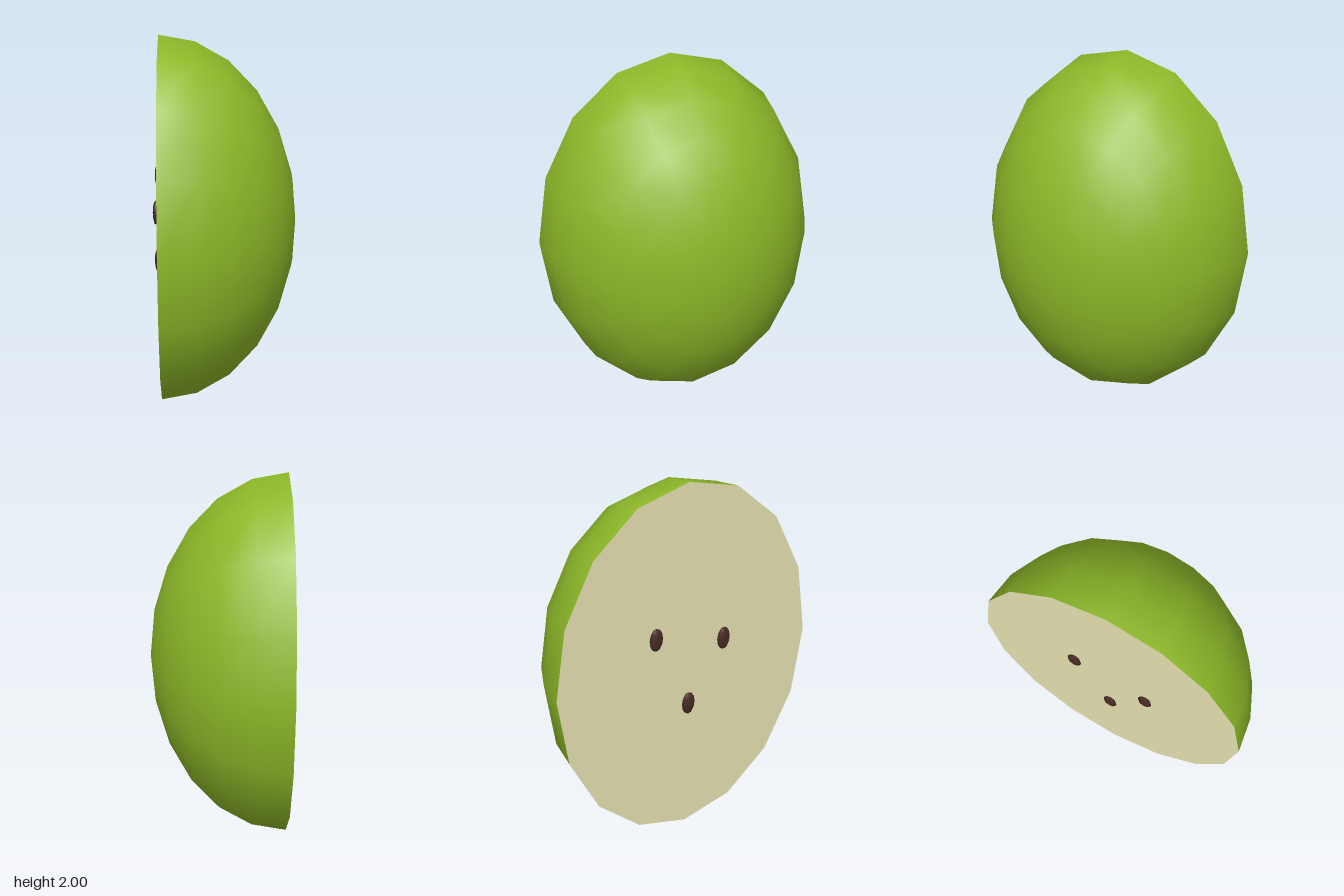
import * as THREE from 'three';

const material = (name, color) => {
  const m = new THREE.MeshStandardMaterial({ color });
  m.name = name;
  return m;
};

export function createModel() {
  const group = new THREE.Group();
  group.name = 'halvedFruit';
  const skin = material('green skin', 0x8db828);
  const flesh = material('pale flesh', 0xe4e0b0);
  const pip = material('dark brown seed', 0x4a2a25);

  const cutX = -0.35, depth = 0.73, height = 1, width = 0.765, sides = 16;

  const add = (name, geometry, mat, x, y, z) => {
    const mesh = new THREE.Mesh(geometry, mat);
    mesh.name = name;
    mesh.position.set(x, y, z);
    group.add(mesh);
  };

  // Skin: half ellipsoid with its pole towards +x
  const shell = new THREE.SphereGeometry(1, sides, 6, 0, Math.PI * 2, 0, Math.PI / 2);
  shell.rotateZ(-Math.PI / 2).scale(depth, height, width);
  add('skin', shell, skin, cutX, 1, 0);

  // Flat cut face, towards -x
  const face = new THREE.CircleGeometry(1, sides);
  face.rotateY(-Math.PI / 2).scale(1, height, width);
  add('cutFace', face, flesh, cutX, 1, 0);

  // Three seeds just proud of the cut face
  const seed = new THREE.SphereGeometry(1, 8, 6).scale(0.015, 0.065, 0.04);
  [[1.2, -0.2], [1.1, 0.215], [0.77, 0]].forEach(([y, z], i) =>
    add(`seed${i + 1}`, seed, pip, -0.371, y, z));

  return group;
}
